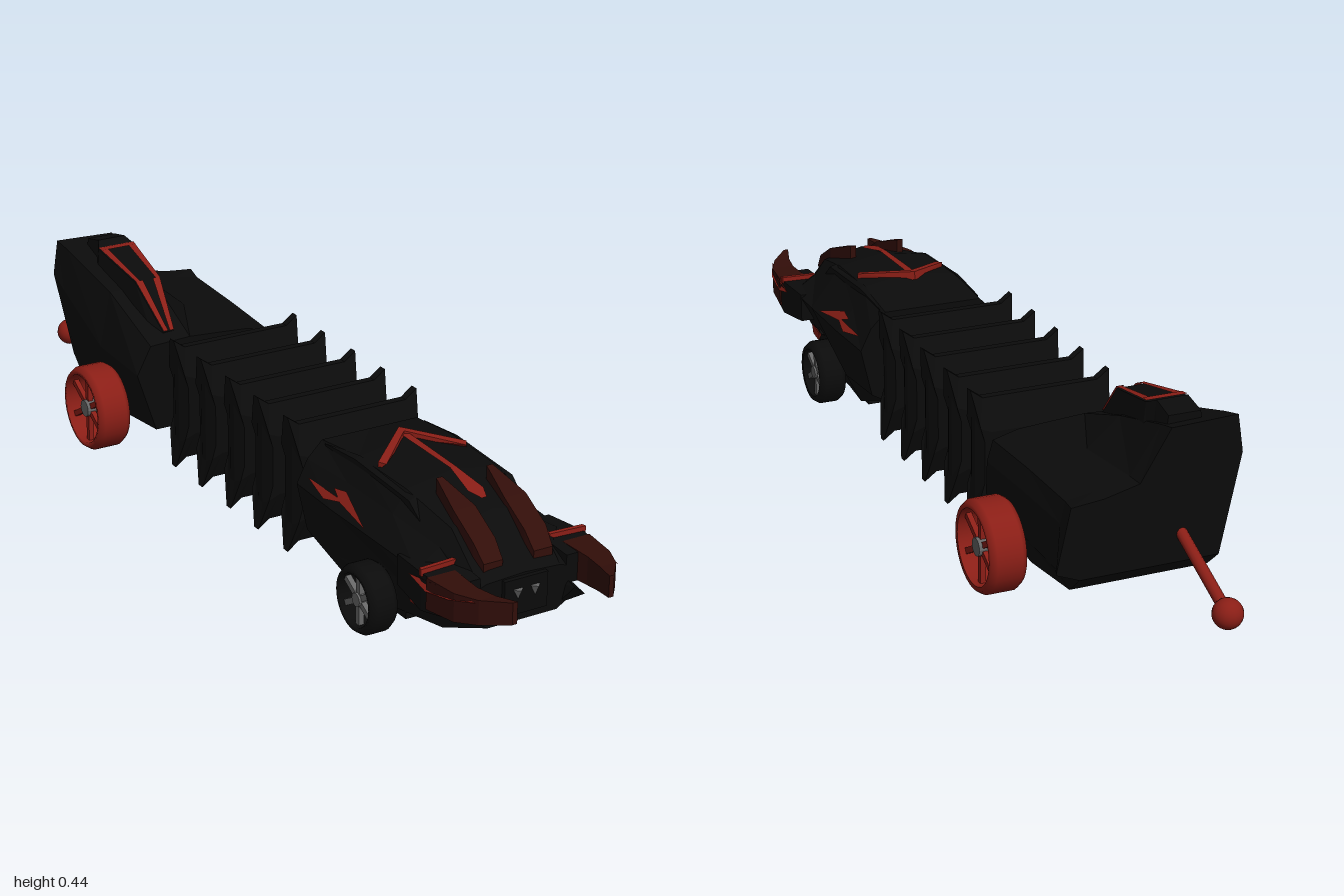
import * as THREE from 'three';
import { ConvexGeometry } from 'three/addons/geometries/ConvexGeometry.js';

const mat = (color, flatShading = true) =>
  new THREE.MeshStandardMaterial({ color, flatShading, side: THREE.DoubleSide });
const BLACK = mat(0x0b0b0b), RED = mat(0x8a1e16), BROWN = mat(0x320e09), GREY = mat(0x666666);
const SPINE = mat(0x541a18, false), TYRE = mat(0x0b0b0b, false), RED_SMOOTH = mat(0x8a1e16, false);

function add(parent, name, geometry, material, x = 0, y = 0, z = 0) {
  const m = new THREE.Mesh(geometry, material);
  m.name = name;
  m.position.set(x, y, z);
  parent.add(m);
  return m;
}

// Joins cross-sections [z, [[x, y], ...]], front to back, points counter-clockwise seen from +z
function loft(sections) {
  const pos = [];
  const put = (s, i) => pos.push(s[1][i][0], s[1][i][1], s[0]);
  const n = sections[0][1].length;
  for (let k = 0; k < sections.length - 1; k++) {
    const a = sections[k], b = sections[k + 1];
    for (let i = 0; i < n; i++) {
      const j = (i + 1) % n;
      put(a, i); put(b, i); put(a, j);
      put(a, j); put(b, i); put(b, j);
    }
  }
  const cap = (s, flip) => {
    const tris = THREE.ShapeUtils.triangulateShape(s[1].map(p => new THREE.Vector2(...p)), []);
    for (const t of tris) for (const i of flip ? [t[2], t[1], t[0]] : t) put(s, i);
  };
  cap(sections[0], false);
  cap(sections.at(-1), true);
  const g = new THREE.BufferGeometry();
  g.setAttribute('position', new THREE.Float32BufferAttribute(pos, 3));
  g.computeVertexNormals();
  return g;
}

const mirrorRing = (ring, s) => s > 0 ? ring : ring.map(([x, y]) => [-x, y]).reverse();
// Full ring from a right-hand half listed top to bottom (first point on the centre line)
const fullRing = half => [...half.map(([x, y]) => [-x, y]), ...half.slice(1).reverse()];
const rect = (x0, x1, y0, y1) => [[x0, y0], [x1, y0], [x1, y1], [x0, y1]];
const hull = pts => new ConvexGeometry(pts.map(p => new THREE.Vector3(...p)));

// Thin painted panel from a fan of corners
function panel(pts) {
  const pos = [];
  for (let i = 1; i < pts.length - 1; i++) pos.push(...pts[0], ...pts[i], ...pts[i + 1]);
  const g = new THREE.BufferGeometry();
  g.setAttribute('position', new THREE.Float32BufferAttribute(pos, 3));
  g.computeVertexNormals();
  return g;
}

function wheel(name, r, w, inner, tyreMat, spokeMat, side) {
  const g = new THREE.Group();
  g.name = name;
  const h = w / 2, b = 0.012;
  const profile = [[inner, -h], [r - 0.008, -h], [r, b - h], [r, h - b], [r - 0.008, h], [inner, h], [inner, -h]];
  add(g, 'tyre', new THREE.LatheGeometry(profile.map(p => new THREE.Vector2(...p)), 32), tyreMat).rotation.z = Math.PI / 2;
  add(g, 'hub', new THREE.CylinderGeometry(r * 0.2, r * 0.2, w * 0.6, 12), GREY, side * w * 0.12).rotation.z = Math.PI / 2;
  for (let i = 0; i < 6; i++) {
    const spoke = new THREE.BoxGeometry(0.012, inner, 0.013).translate(0, inner / 2, 0).rotateX(i * Math.PI / 3);
    add(g, 'spoke', spoke, spokeMat, side * w * 0.25);
  }
  return g;
}

function buildHead() {
  const head = new THREE.Group();
  head.name = 'head';
  head.position.x = 0.007;
  const shell = [
    [0.87, [[0, 0.215], [0.085, 0.21], [0.10, 0.205], [0.11, 0.18], [0.105, 0.13], [0.08, 0.115]]],
    [0.76, [[0, 0.305], [0.095, 0.285], [0.12, 0.25], [0.175, 0.215], [0.13, 0.12], [0.11, 0.075]]],
    [0.62, [[0, 0.333], [0.108, 0.315], [0.14, 0.27], [0.18, 0.22], [0.13, 0.13], [0.12, 0.055]]],
    [0.45, [[0, 0.338], [0.112, 0.32], [0.14, 0.27], [0.18, 0.22], [0.16, 0.11], [0.125, 0.04]]],
    [0.31, [[0, 0.305], [0.115, 0.305], [0.15, 0.27], [0.175, 0.22], [0.15, 0.11], [0.115, 0.09]]],
  ];
  add(head, 'headShell', loft(shell.map(([z, half]) => [z, fullRing(half)])), BLACK);
  add(head, 'bellyPlate', new THREE.BoxGeometry(0.235, 0.05, 0.22), BLACK, 0, 0.066, 0.53);
  add(head, 'chinKeel', hull([[0, 0.029, 0.46], [-0.02, 0.043, 0.42], [0.02, 0.043, 0.42], [-0.02, 0.043, 0.54], [0.02, 0.043, 0.54], [0, 0.08, 0.48]]), BLACK);
  add(head, 'mouth', new THREE.BoxGeometry(0.1, 0.075, 0.06), BLACK, 0, 0.172, 0.85);

  // Arrow marking on the crown
  const stem = [[0.42, 0.34], [0.45, 0.343], [0.62, 0.338], [0.70, 0.322], [0.73, 0.316]];
  const widths = [0.004, 0.009, 0.007, 0.018, 0.006];
  for (let i = 0; i < 4; i++) {
    const [za, ya] = stem[i], [zb, yb] = stem[i + 1], a = widths[i], b = widths[i + 1];
    add(head, 'crownStripe', panel([[-a, ya, za], [-b, yb, zb], [b, yb, zb], [a, ya, za]]), RED);
  }

  for (const s of [-1, 1]) {
    add(head, 'crownArrow', hull([[0, 0.332, 0.415], [0, 0.35, 0.42], [0, 0.348, 0.44], [s * 0.105, 0.312, 0.51], [s * 0.105, 0.33, 0.51], [s * 0.095, 0.328, 0.525], [0, 0.33, 0.44]]), RED);
    // Raised horn above each side of the mouth
    add(head, 'browHorn', loft([
      [0.85, rect(0.036, 0.08, 0.22, 0.242)],
      [0.82, rect(0.034, 0.084, 0.235, 0.275)],
      [0.75, rect(0.034, 0.084, 0.25, 0.315)],
      [0.66, rect(0.052, 0.066, 0.29, 0.345)],
    ].map(([z, r]) => [z, mirrorRing(r, s)])), BROWN);
    // Black cheek carrying a curved pincer with a red lip and streak
    add(head, 'cheek', loft([[0.87, rect(0.10, 0.182, 0.165, 0.226)], [0.80, rect(0.10, 0.188, 0.15, 0.23)], [0.70, rect(0.10, 0.178, 0.16, 0.225)]]
      .map(([z, r]) => [z, mirrorRing(r, s)])), BLACK);
    const pincer = [[1.0, 0.105, 0.116, 0.19, 0.236], [0.95, 0.12, 0.158, 0.178, 0.23], [0.90, 0.128, 0.18, 0.168, 0.228], [0.82, 0.125, 0.19, 0.162, 0.229]];
    add(head, 'pincer', loft(pincer.map(([z, a, b, c, d]) => [z, mirrorRing(rect(a, b, c, d), s)])), BROWN);
    add(head, 'pincerLip', hull([0.225, 0.24].flatMap(y => [[s * 0.11, y, 0.79], [s * 0.11, y, 0.80], [s * 0.19, y, 0.795], [s * 0.192, y, 0.805]])), RED);
    add(head, 'pincerStreak', panel([[s * 0.163, 0.225, 0.95], [s * 0.186, 0.212, 0.89], [s * 0.192, 0.20, 0.82], [s * 0.192, 0.214, 0.76], [s * 0.192, 0.226, 0.83]]), RED);
    add(head, 'lowerMandible', hull([[s * 0.1, 0.11, 0.66], [s * 0.14, 0.13, 0.68], [s * 0.135, 0.17, 0.72], [s * 0.09, 0.12, 0.86], [s * 0.125, 0.15, 0.90], [s * 0.10, 0.17, 0.9]]), BLACK);
    // Flame markings on the flanks
    const flank = (z, y) => [s * (0.144 + (0.27 - y) * 0.8), y + 0.002, z];
    add(head, 'flameFront', panel([flank(0.58, 0.226), flank(0.47, 0.258), flank(0.43, 0.252), flank(0.47, 0.238)]), RED);
    add(head, 'flameRear', panel([flank(0.49, 0.243), flank(0.42, 0.238), flank(0.34, 0.242), flank(0.42, 0.228)]), RED);
    add(head, 'cheekStripe', hull([[s * 0.132, 0.128, 0.76], [s * 0.132, 0.105, 0.75], [s * 0.142, 0.13, 0.68], [s * 0.14, 0.108, 0.69], [s * 0.12, 0.115, 0.72]]), RED);
    add(head, 'crownRail', hull([[s * 0.112, 0.26, 0.33], [s * 0.12, 0.305, 0.33], [s * 0.11, 0.322, 0.45], [s * 0.122, 0.316, 0.45], [s * 0.105, 0.31, 0.65], [s * 0.122, 0.305, 0.65], [s * 0.118, 0.25, 0.72]]), BLACK);
    const tooth = add(head, 'tooth', new THREE.ConeGeometry(0.011, 0.022, 4), GREY, s * 0.02, 0.178, 0.882);
    tooth.rotation.x = Math.PI;
    const w = wheel('frontWheel', 0.074, 0.062, 0.056, TYRE, GREY, s);
    w.position.set(s * 0.17, 0.076, 0.577);
    head.add(w);
  }
  add(head, 'frontAxle', new THREE.CylinderGeometry(0.012, 0.012, 0.34, 12), BLACK, 0, 0.076, 0.577).rotation.z = Math.PI / 2;
  return head;
}

function buildTail() {
  const tail = new THREE.Group();
  tail.name = 'tail';
  // Lopsided body: tall on the right, low on the left, with a flared rear edge
  add(tail, 'tailBody', loft([
    [-0.37, [[-0.14, 0.08], [0.14, 0.08], [0.17, 0.15], [0.168, 0.22], [0.155, 0.265], [0.10, 0.28], [0.03, 0.285], [-0.05, 0.29], [-0.15, 0.285], [-0.185, 0.22]]],
    [-0.55, [[-0.15, 0.07], [0.15, 0.07], [0.175, 0.14], [0.17, 0.23], [0.158, 0.275], [0.10, 0.285], [0.03, 0.295], [-0.04, 0.355], [-0.16, 0.36], [-0.187, 0.23]]],
    [-0.73, [[-0.15, 0.09], [0.15, 0.09], [0.18, 0.14], [0.172, 0.235], [0.162, 0.28], [0.10, 0.29], [0.025, 0.308], [-0.04, 0.405], [-0.178, 0.41], [-0.19, 0.31]]],
    [-0.775, [[-0.15, 0.13], [0.15, 0.13], [0.2, 0.15], [0.18, 0.24], [0.17, 0.285], [0.10, 0.292], [0.025, 0.31], [-0.04, 0.415], [-0.183, 0.42], [-0.195, 0.34]]],
  ]), BLACK);

  // Sloping hood with red edge stripes: z, left x, right x, top y
  const hood = [[-0.40, -0.102, -0.076, 0.30], [-0.50, -0.12, -0.058, 0.392], [-0.66, -0.132, -0.042, 0.425], [-0.685, -0.12, -0.052, 0.437], [-0.74, -0.12, -0.05, 0.425]];
  add(tail, 'hood', loft(hood.map(([z, a, b, y]) => [z, [[a - 0.015, 0.25], [b + 0.02, 0.25], [b, y], [a, y]]])), BLACK);
  for (let i = 0; i < 2; i++) {
    const [za, la, ra, ya] = hood[i], [zb, lb, rb, yb] = hood[i + 1], e = 0.003;
    for (const [p, q, d] of [[la, lb, 1], [ra, rb, -1]])
      add(tail, 'hoodStripe', panel([[p, ya + e, za + e], [p + d * 0.011, ya + e, za + e], [q + d * 0.018, yb + e, zb + e], [q, yb + e, zb + e]]), RED);
  }
  add(tail, 'hoodBar', panel([[-0.13, 0.427, -0.642], [-0.044, 0.427, -0.642], [-0.042, 0.428, -0.66], [-0.132, 0.428, -0.66]]), RED);

  // Trailing rod and ball
  const rod = new THREE.LineCurve3(new THREE.Vector3(-0.068, 0.195, -0.76), new THREE.Vector3(-0.068, 0.105, -0.965));
  add(tail, 'tailRod', new THREE.TubeGeometry(rod, 1, 0.012, 12), RED_SMOOTH);
  add(tail, 'tailBall', new THREE.SphereGeometry(0.031, 20, 14), RED_SMOOTH, -0.068, 0.105, -0.967);

  for (const s of [-1, 1]) {
    const w = wheel('rearWheel', 0.098, 0.078, 0.08, RED_SMOOTH, RED, s);
    w.position.set(s * 0.22, 0.105, -0.51);
    tail.add(w);
  }
  add(tail, 'rearAxle', new THREE.CylinderGeometry(0.014, 0.014, 0.44, 12), BLACK, 0, 0.105, -0.51).rotation.z = Math.PI / 2;
  return tail;
}

function buildSpine() {
  const spine = new THREE.Group();
  spine.name = 'spine';
  spine.position.set(0.006, 0.185, 0);
  add(spine, 'spineTube', new THREE.CylinderGeometry(0.062, 0.062, 0.7, 24), SPINE, 0, 0, -0.03).rotation.x = Math.PI / 2;
  // Body segments: thin-edged plates with a pointed horn at each corner
  const half = [[0, 0.133], [0.13, 0.133], [0.157, 0.153], [0.147, 0.09], [0.147, -0.09], [0.157, -0.153], [0.13, -0.133], [0, -0.133]];
  const outer = half.flatMap(([x, y], i) => i === 7 ? [] : [[-x, y]]).concat(half.slice(1).reverse());
  const inner = outer.map(([x, y]) => [x * 0.93, y * 0.5]);
  const plate = loft([[0.037, inner], [0.009, outer], [-0.009, outer], [-0.037, inner]]);
  for (const z of [0.235, 0.11, -0.012, -0.14, -0.265]) add(spine, 'segment', plate, BLACK, 0, 0, z);
  return spine;
}

export function createModel() {
  const model = new THREE.Group();
  model.name = 'segmentedVehicle';
  model.add(buildHead(), buildSpine(), buildTail());
  return model;
}
